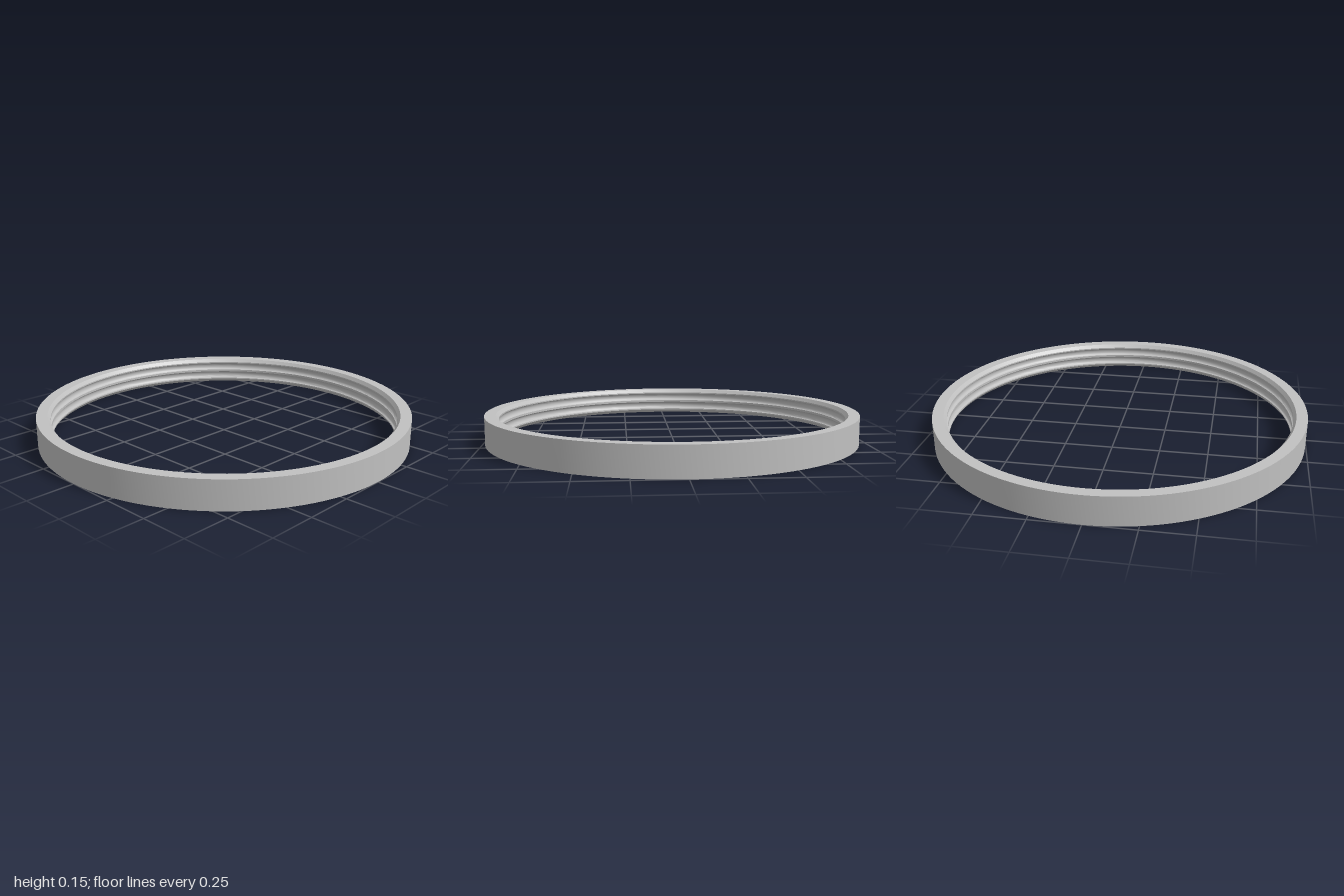
import * as THREE from 'three';
import { toCreasedNormals } from 'three/addons/utils/BufferGeometryUtils.js';

const HEIGHT = 0.15;
const LAND = 0.926; // radius of the lands between grooves

// Shallow ball groove cut into the bore, listed from top to bottom
function groove(y, halfWidth, depth, steps = 8) {
  const points = [];
  for (let i = 0; i <= steps; i++) {
    const a = (i / steps) * Math.PI;
    points.push(new THREE.Vector2(LAND + depth * Math.sin(a), y + halfWidth * Math.cos(a)));
  }
  return points;
}

export function createModel() {
  const group = new THREE.Group();
  group.name = 'bearingRing';
  const steel = new THREE.MeshStandardMaterial({ color: 0xc0c0c0 });
  steel.name = 'steel grey';

  // Closed cross-section: outer wall, top rim, chamfer, two grooves, chamfer, bottom rim
  const profile = [
    new THREE.Vector2(1, 0),
    new THREE.Vector2(1, HEIGHT),
    new THREE.Vector2(0.941, HEIGHT),
    new THREE.Vector2(LAND, 0.132),
    ...groove(0.103, 0.022, 0.016),
    ...groove(0.047, 0.022, 0.016),
    new THREE.Vector2(LAND, 0.018),
    new THREE.Vector2(0.941, 0),
    new THREE.Vector2(1, 0),
  ];
  const geometry = toCreasedNormals(new THREE.LatheGeometry(profile, 128), 0.55);
  const ring = new THREE.Mesh(geometry, steel);
  ring.name = 'groovedOuterRing';
  group.add(ring);
  return group;
}
